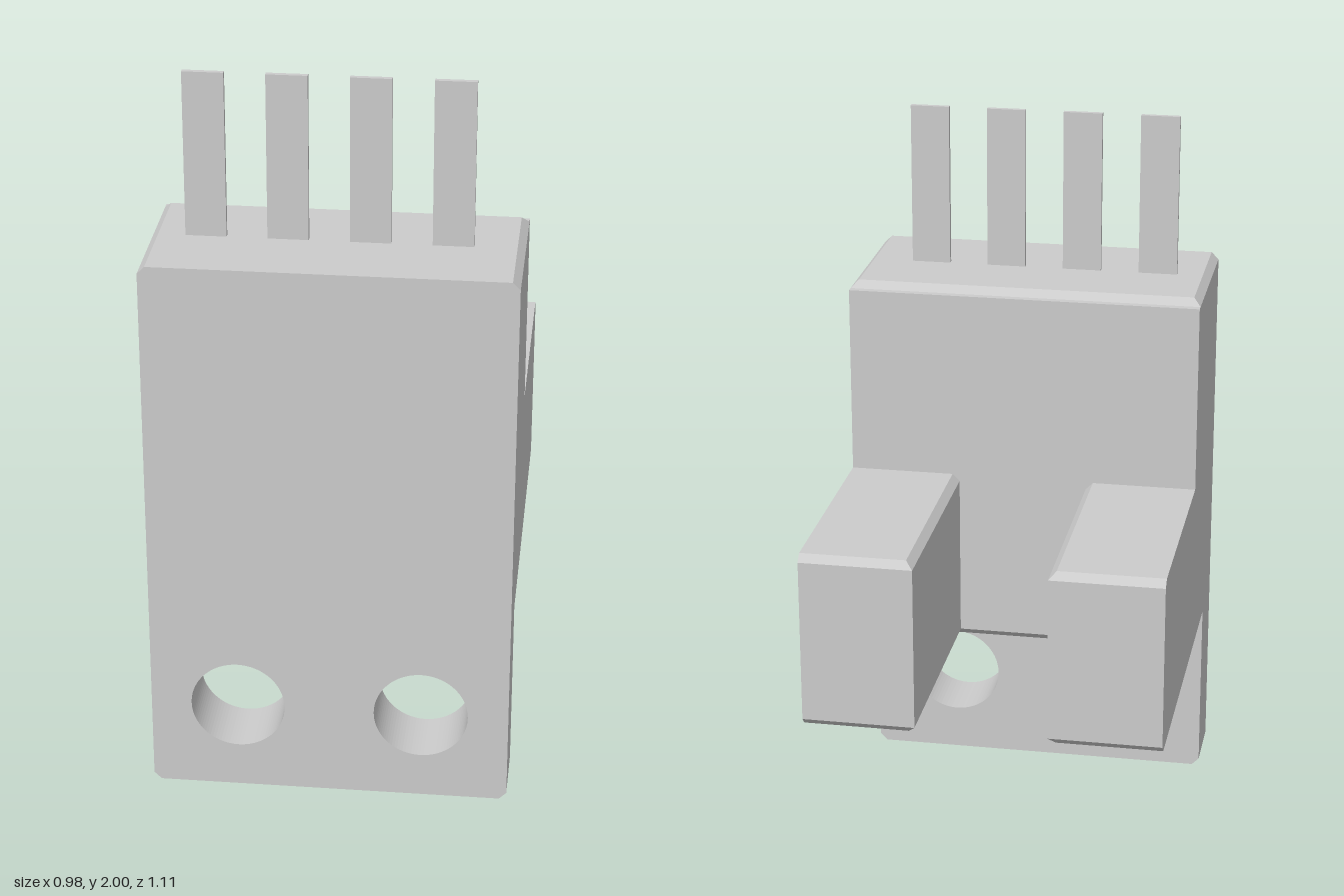
import * as THREE from 'three';
import { ConvexGeometry } from 'three/addons/geometries/ConvexGeometry.js';

const W = 0.488;            // half width
const FRONT = 0.556, BACK = -0.556;
const C = 0.02;             // chamfer size
const PLATE_BACK = 0.375;   // rear face of the mounting plate
const BODY_BACK = 0.09;     // rear face of the main body
const ARM_LOW = 0.505, ARM_HIGH = 1.003;
const SHOULDER = 1.53, TOP = 1.55;

export function createModel() {
  const model = new THREE.Group();
  const material = new THREE.MeshStandardMaterial({ color: 0xcccccc, flatShading: true });
  const smooth = new THREE.MeshStandardMaterial({ color: 0xcccccc });

  const add = (name, geometry, mat = material) => {
    const mesh = new THREE.Mesh(geometry, mat);
    mesh.name = name;
    model.add(mesh);
    return mesh;
  };
  const box = (name, x0, x1, y0, y1, z0, z1) =>
    add(name, new THREE.BoxGeometry(x1 - x0, y1 - y0, z1 - z0))
      .position.set((x0 + x1) / 2, (y0 + y1) / 2, (z0 + z1) / 2);
  const hull = (name, points) =>
    add(name, new ConvexGeometry(points.map(p => new THREE.Vector3(...p))));

  // Mounting plate: chamfered lower corners and two screw holes
  const outline = new THREE.Shape([
    [-W + C, 0], [W - C, 0], [W, C], [W, SHOULDER], [-W, SHOULDER], [-W, C],
  ].map(p => new THREE.Vector2(...p)));
  for (const x of [-0.25, 0.25]) {
    outline.holes.push(new THREE.Path().absarc(x, 0.255, 0.128, 0, Math.PI * 2, true));
  }
  const plate = new THREE.ExtrudeGeometry(outline, {
    depth: FRONT - PLATE_BACK, bevelEnabled: false, curveSegments: 48,
  });
  plate.translate(0, 0, PLATE_BACK);
  add('mountingPlate', plate, smooth);

  // Upper housing behind the plate
  box('upperHousing', -W, W, ARM_HIGH, SHOULDER, BODY_BACK, PLATE_BACK);

  // Slot floor between the arms, chamfered along its lower edge
  const floor = [];
  for (const x of [-0.2, 0.2]) {
    floor.push([x, ARM_LOW, PLATE_BACK], [x, ARM_HIGH, PLATE_BACK], [x, ARM_HIGH, BODY_BACK],
      [x, ARM_LOW + C, BODY_BACK], [x, ARM_LOW, BODY_BACK + C]);
  }
  hull('slotFloor', floor);

  // Top cap, chamfered at the sides and rear, set in from the rear face
  const cap = [];
  for (const s of [-1, 1]) {
    cap.push([s * W, SHOULDER, FRONT], [s * W, SHOULDER, BODY_BACK + C],
      [s * (W - C), TOP, FRONT], [s * (W - C), TOP, BODY_BACK + 2 * C]);
  }
  hull('topCap', cap);

  // Two sensing arms, chamfered along the inner and rear edges
  for (const s of [-1, 1]) {
    const arm = [];
    for (const [y, inset] of [[ARM_LOW, C], [ARM_LOW + C, 0], [ARM_HIGH - C, 0], [ARM_HIGH, C]]) {
      for (const x of [0.18 + inset, W]) {
        arm.push([s * x, y, BACK + inset], [s * x, y, PLATE_BACK]);
      }
    }
    hull(s > 0 ? 'leftArm' : 'rightArm', arm);
  }

  // Four flat contact pins
  [-0.342, -0.127, 0.088, 0.303].forEach((x, i) =>
    box('pin' + (i + 1), x - 0.054, x + 0.054, TOP - 0.01, 2, 0.327, 0.341));

  return model;
}
